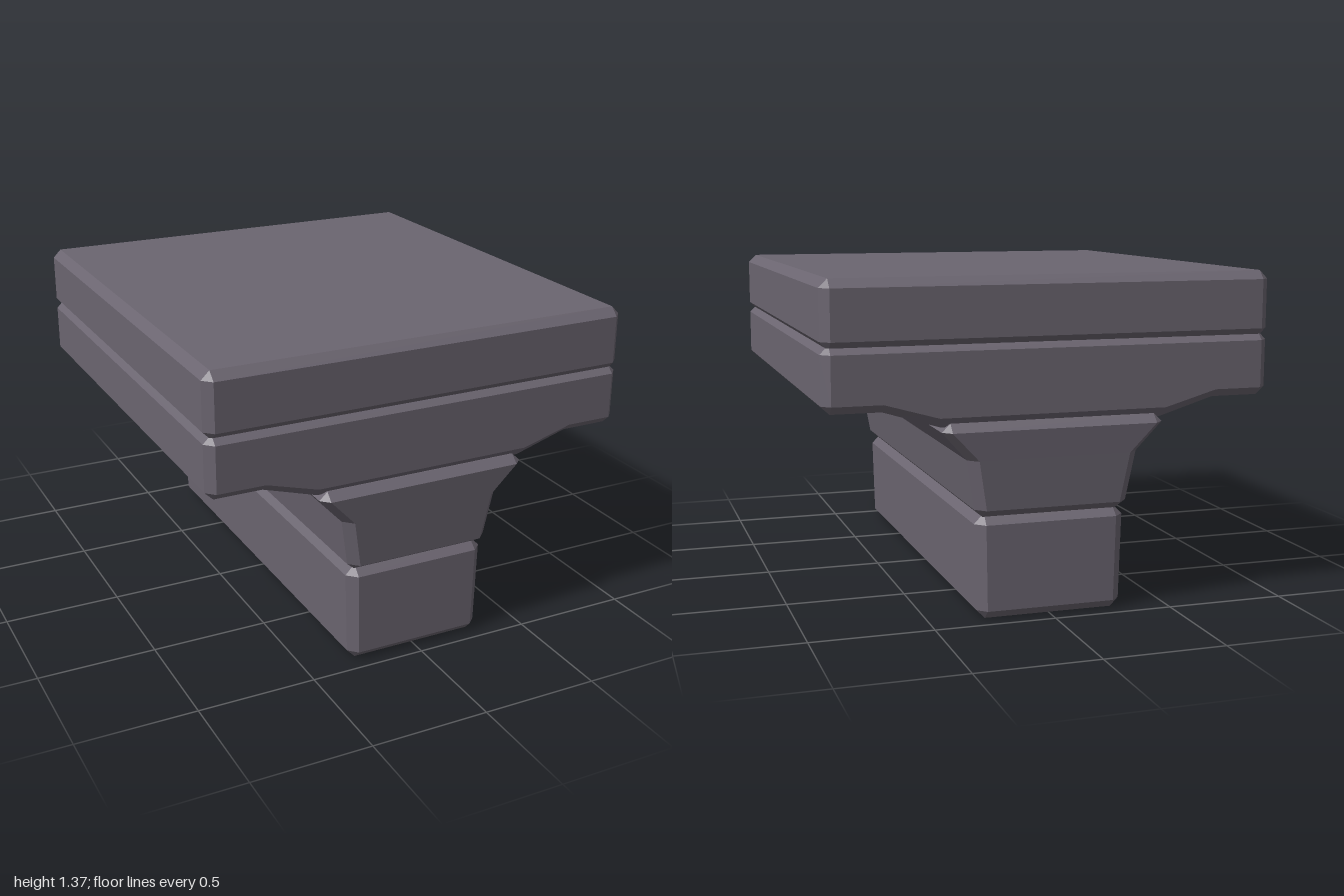
import * as THREE from 'three';
import { toCreasedNormals } from 'three/addons/utils/BufferGeometryUtils.js';

// Skin matching counter-clockwise outlines along z and cap both ends.
function loft(sections) {
  const pos = [];
  const tri = (a, b, c) => {
    const area = b.clone().sub(a).cross(c.clone().sub(a)).length();
    if (area > 1e-7) for (const p of [a, b, c]) pos.push(p.x, p.y, p.z);
  };
  const loops = sections.map(({ at, outline }) =>
    outline.map(([x, y]) => new THREE.Vector3(x, y, at)));
  for (let i = 0; i < loops.length - 1; i++) {
    const a = loops[i], b = loops[i + 1], n = a.length;
    for (let j = 0; j < n; j++) {
      const k = (j + 1) % n;
      tri(a[j], a[k], b[k]);
      tri(a[j], b[k], b[j]);
    }
  }
  const first = loops[0], last = loops[loops.length - 1];
  const cap = (loop) => THREE.ShapeUtils.triangulateShape(
    loop.map((p) => new THREE.Vector2(p.x, p.y)), []);
  for (const [a, b, c] of cap(first)) tri(first[a], first[c], first[b]);
  for (const [a, b, c] of cap(last)) tri(last[a], last[b], last[c]);
  const geometry = new THREE.BufferGeometry();
  geometry.setAttribute('position', new THREE.Float32BufferAttribute(pos, 3));
  geometry.computeVertexNormals();
  return geometry;
}

// Rectangle with cut corners.
function cutRect(w, d, c) {
  return [
    [w - c, -d], [w, -d + c], [w, d - c], [w - c, d],
    [-w + c, d], [-w, d - c], [-w, -d + c], [-w + c, -d],
  ];
}

// Stacked block from rows of [height, half width, half depth, corner cut].
function block(rows) {
  return loft(rows.map(([y, w, d, c]) => ({ at: y, outline: cutRect(w, d, c) })))
    .rotateX(-Math.PI / 2);
}

function mirrorX(half) {
  return [...half, ...half.map(([x, y]) => [-x, y]).reverse()];
}

export function createModel() {
  const group = new THREE.Group();
  group.name = 'stonePedestal';
  const stone = new THREE.MeshStandardMaterial({ color: 0x6b6570 });
  stone.name = 'grey stone';
  const add = (name, geometry) => {
    const mesh = new THREE.Mesh(geometry, stone);
    mesh.name = name;
    group.add(mesh);
  };

  // Foot block, slightly wider towards the top
  add('foot', block([
    [0, 0.27, 0.912, 0],
    [0.035, 0.305, 0.947, 0.037],
    [0.388, 0.315, 0.95, 0.04],
    [0.43, 0.273, 0.908, 0],
  ]));

  // Flared collar
  add('collar', block([
    [0.415, 0.28, 0.915, 0],
    [0.452, 0.32, 0.973, 0.04],
    [0.655, 0.355, 0.99, 0.04],
    [0.772, 0.46, 1, 0.035],
    [0.805, 0.425, 0.965, 0],
  ]));

  // Lower slab with a sagging underside and bevelled ends
  const full = mirrorX([
    [0.46, 0.79], [0.69, 0.86], [0.89, 0.86],
    [0.925, 0.893], [0.925, 1.087], [0.89, 1.122],
  ]);
  const inset = mirrorX([
    [0.47, 0.83], [0.69, 0.893], [0.89, 0.893],
    [0.89, 0.893], [0.89, 1.087], [0.89, 1.087],
  ]);
  add('lowerSlab', toCreasedNormals(loft([
    { at: -0.983, outline: inset },
    { at: -0.947, outline: full },
    { at: 0.947, outline: full },
    { at: 0.983, outline: inset },
  ]), 0.4));

  // Upper slab
  add('upperSlab', block([
    [1.1, 0.89, 0.948, 0],
    [1.135, 0.925, 0.983, 0.036],
    [1.335, 0.925, 0.983, 0.036],
    [1.37, 0.89, 0.948, 0],
  ]));

  return group;
}
